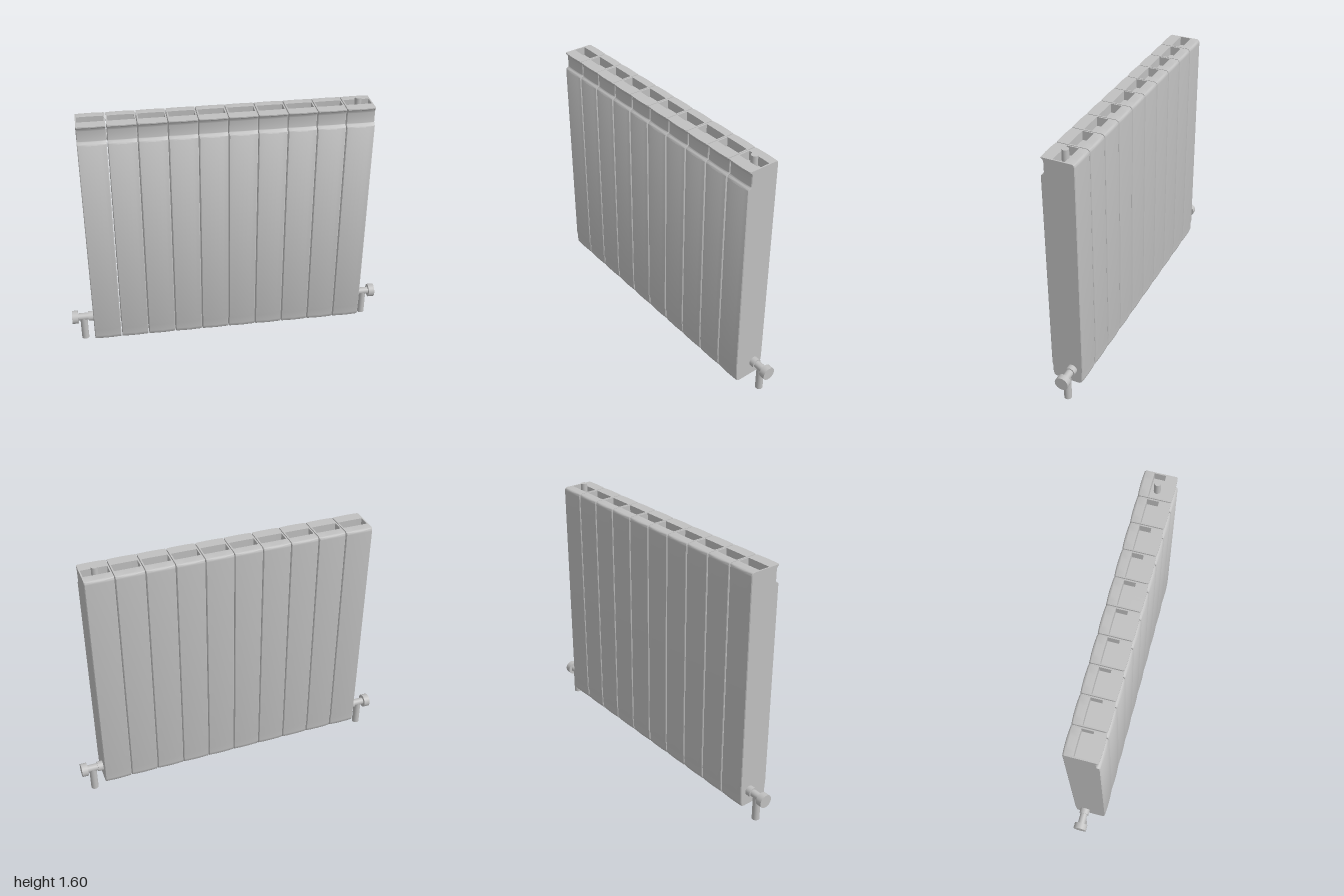
import * as THREE from 'three';
import { mergeGeometries, toCreasedNormals } from 'three/addons/utils/BufferGeometryUtils.js';

const SECTIONS = 10, PITCH = 0.173, HALF = 0.084, WALL = 0.008;
const TOP = 1.565, BOTTOM = 0.07;

// Side outline of one section in (z, y), optionally with the pocket cut into the top
function sideProfile(pocket) {
  const s = new THREE.Shape();
  s.moveTo(-0.075, BOTTOM);
  s.lineTo(0.08, BOTTOM);
  s.quadraticCurveTo(0.101, BOTTOM, 0.101, 0.1);
  s.lineTo(0.102, 0.145);
  s.lineTo(0.106, 0.165);
  s.lineTo(0.106, 1.45);
  s.quadraticCurveTo(0.104, 1.457, 0.095, 1.462);
  s.quadraticCurveTo(0.086, 1.466, 0.086, 1.475);
  s.lineTo(0.086, 1.535);
  s.quadraticCurveTo(0.087, 1.552, 0.1, 1.558);
  s.lineTo(0.1, TOP);
  if (pocket) {
    s.lineTo(0.03, TOP);
    s.lineTo(0.03, 1.51);
    s.lineTo(-0.04, 1.51);
    s.lineTo(-0.04, TOP);
  }
  s.lineTo(-0.085, TOP);
  s.quadraticCurveTo(-0.102, TOP, -0.102, 1.545);
  s.lineTo(-0.102, 0.165);
  s.lineTo(-0.098, 0.14);
  s.lineTo(-0.098, 0.1);
  s.quadraticCurveTo(-0.098, BOTTOM, -0.075, BOTTOM);
  return s;
}

// Extrude a side outline across x from x0 to x1
function slab(pocket, x0, x1, steps) {
  const g = new THREE.ExtrudeGeometry(sideProfile(pocket), {
    depth: x1 - x0, steps, curveSegments: 5, bevelEnabled: false,
  });
  return g.rotateY(-Math.PI / 2).translate(x1, 0, 0);
}

// Pocketed middle and two end walls, bulged gently with softened outer edges
function sectionGeometry() {
  const g = mergeGeometries([
    slab(true, -HALF + WALL, HALF - WALL, 6),
    slab(false, -HALF, -HALF + WALL, 2),
    slab(false, HALF - WALL, HALF, 2),
  ]);
  const p = g.attributes.position;
  for (let i = 0; i < p.count; i++) {
    const u = Math.abs(p.getX(i)) / HALF;
    const edge = u > 0.99 ? 0.035 : 0;
    p.setZ(i, p.getZ(i) * (1 - 0.04 * u * u - edge));
  }
  return toCreasedNormals(g, 0.6);
}

export function createModel() {
  const model = new THREE.Group();
  model.name = 'radiator';
  const grey = new THREE.MeshStandardMaterial({ color: 0xc0c0c0 });
  grey.name = 'grey metal';

  const add = (parent, name, geometry, x, y, z) => {
    const m = new THREE.Mesh(geometry, grey);
    m.name = name;
    m.position.set(x, y, z);
    parent.add(m);
    return m;
  };
  const rod = (r, length) => new THREE.CylinderGeometry(r, r, length, 28);
  const rodX = (r, length) => rod(r, length).rotateZ(Math.PI / 2);

  // Row of identical sections
  const section = sectionGeometry();
  for (let i = 0; i < SECTIONS; i++) {
    add(model, 'section', section, (i - (SECTIONS - 1) / 2) * PITCH, 0, 0);
  }

  // Joints bridging the gaps between sections
  const joint = rodX(0.03, PITCH - 2 * HALF + 0.002);
  for (let i = 1; i < SECTIONS; i++) {
    for (const y of [0.165, 1.45]) add(model, 'joint', joint, (i - SECTIONS / 2) * PITCH, y, -0.032);
  }

  // Bleed plug standing in the last pocket
  add(model, 'bleedPlug', rod(0.02, 0.087), 0.78, 1.5515, -0.003);

  // Valve and supply pipe at each end
  for (const side of [1, -1]) {
    const valve = new THREE.Group();
    valve.name = side > 0 ? 'leftValve' : 'rightValve';
    add(valve, 'collar', rodX(0.031, 0.036), side * 0.878, 0.165, -0.032);
    add(valve, 'stem', rodX(0.023, 0.08), side * 0.93, 0.165, -0.032);
    add(valve, 'knob', rodX(0.042, 0.038), side * 0.981, 0.165, -0.032);
    add(valve, 'pipe', rod(0.023, 0.165), side * 0.927, 0.0825, -0.032);
    model.add(valve);
  }
  return model;
}
